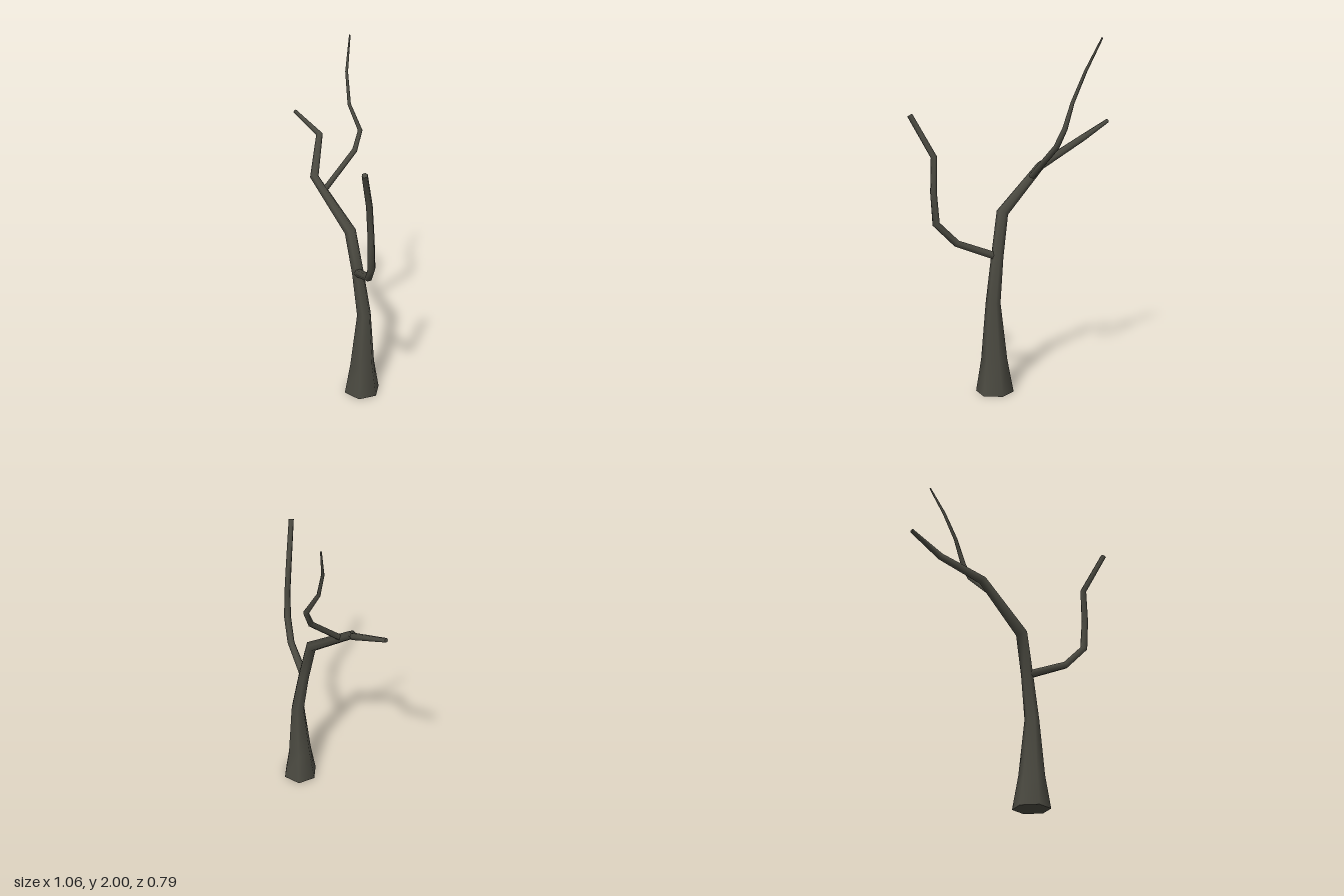
import * as THREE from 'three';

const SIDES = 6;

// Tapered six-sided limb swept along [x, y, z, radius] stations, closed at both ends
function limbGeometry(stations, startDir) {
  const pts = stations.map(s => new THREE.Vector3(s[0], s[1], s[2]));
  const n = pts.length;
  const dir = i => pts[i + 1].clone().sub(pts[i]).normalize();
  const tangent = i => {
    if (i === 0) return startDir ? startDir.clone() : dir(0);
    if (i === n - 1) return dir(n - 2);
    return dir(i - 1).add(dir(i)).normalize();
  };

  // Carry one frame along the path so the sides do not twist
  const positions = [], index = [];
  let prev = new THREE.Vector3(0, 1, 0);
  const u = new THREE.Vector3(1, 0, 0), v = new THREE.Vector3(0, 0, -1);
  const rings = pts.map((p, i) => {
    const t = tangent(i);
    const q = new THREE.Quaternion().setFromUnitVectors(prev, t);
    u.applyQuaternion(q);
    v.applyQuaternion(q);
    prev = t;
    return Array.from({ length: SIDES }, (_, k) => {
      const a = k / SIDES * Math.PI * 2, r = stations[i][3];
      return p.clone().addScaledVector(u, Math.cos(a) * r).addScaledVector(v, Math.sin(a) * r);
    });
  });
  rings.forEach(ring => ring.forEach(c => positions.push(c.x, c.y, c.z)));

  // Bark
  for (let i = 0; i < n - 1; i++) {
    for (let k = 0; k < SIDES; k++) {
      const a = i * SIDES + k, b = i * SIDES + (k + 1) % SIDES;
      index.push(a, b, b + SIDES, a, b + SIDES, a + SIDES);
    }
  }
  // Flat ends with their own corners
  [[rings[0], true], [rings[n - 1], false]].forEach(([ring, flip]) => {
    const s = positions.length / 3;
    ring.forEach(c => positions.push(c.x, c.y, c.z));
    for (let k = 1; k < SIDES - 1; k++) {
      if (flip) index.push(s, s + k + 1, s + k);
      else index.push(s, s + k, s + k + 1);
    }
  });

  const g = new THREE.BufferGeometry();
  g.setAttribute('position', new THREE.Float32BufferAttribute(positions, 3));
  g.setIndex(index);
  g.computeVertexNormals();
  return g;
}

export function createModel() {
  const group = new THREE.Group();
  group.name = 'bareTree';
  const bark = new THREE.MeshStandardMaterial({ color: 0x4b4a41 });
  bark.name = 'darkBark';

  const addLimb = (name, stations, startDir) => {
    const mesh = new THREE.Mesh(limbGeometry(stations, startDir), bark);
    mesh.name = name;
    group.add(mesh);
  };

  // Flared trunk bending over into the main bough
  addLimb('trunk', [
    [0.225, 0, 0.025, 0.108],
    [0.227, 0.19, 0.027, 0.075],
    [0.235, 0.525, 0.027, 0.042],
    [0.19, 0.78, 0.03, 0.035],
    [0.135, 1.025, 0.033, 0.034],
    [-0.172, 1.26, -0.015, 0.025],
    [-0.308, 1.425, -0.22, 0.02],
    [-0.527, 1.508, -0.253, 0.012],
  ], new THREE.Vector3(0, 1, 0));

  // Thin branch rising from the bough to the highest tip
  addLimb('upperBranch', [
    [-0.09, 1.2, -0.005, 0.018],
    [-0.038, 1.395, -0.215, 0.017],
    [-0.042, 1.5, -0.268, 0.015],
    [-0.122, 1.64, -0.266, 0.011],
    [-0.18, 1.81, -0.312, 0.009],
    [-0.224, 1.998, -0.393, 0.005],
  ]);

  // Side branch leaving the trunk low down and turning upward
  addLimb('sideBranch', [
    [0.19, 0.782, 0.035, 0.025],
    [0.378, 0.872, 0.17, 0.022],
    [0.458, 0.985, 0.25, 0.022],
    [0.462, 1.16, 0.262, 0.019],
    [0.45, 1.355, 0.266, 0.018],
    [0.509, 1.583, 0.383, 0.016],
  ]);

  return group;
}
